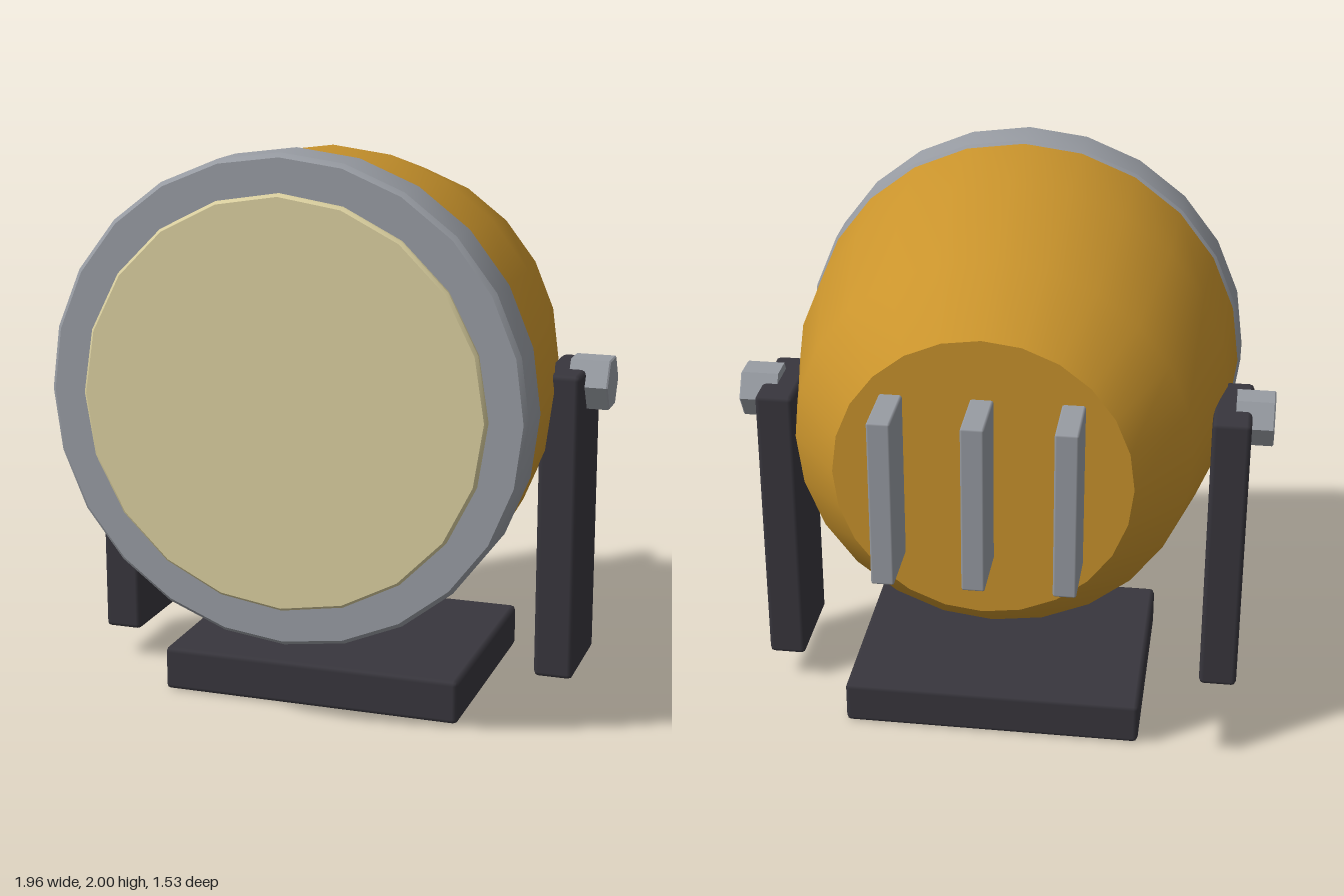
import * as THREE from 'three';
import { toCreasedNormals } from 'three/addons/utils/BufferGeometryUtils.js';
import { RoundedBoxGeometry } from 'three/addons/geometries/RoundedBoxGeometry.js';

const AXIS_Y = 1.16; // height of the lamp axis
const MID_Z = 0.065; // depth of the bracket and base

function material(name, color) {
  const m = new THREE.MeshStandardMaterial({ color });
  m.name = name;
  return m;
}

// Solid of revolution along z; profile is [radius, z] from back to front
function turned(profile, sides) {
  const lathe = new THREE.LatheGeometry(profile.map(([r, z]) => new THREE.Vector2(r, z)), sides);
  lathe.rotateX(Math.PI / 2);
  return toCreasedNormals(lathe, 0.6);
}

export function createModel() {
  const model = new THREE.Group();
  model.name = 'floodlight';
  const amber = material('amber paint', 0xca942c);
  const metal = material('grey metal', 0x989ca3);
  const glass = material('cream glass', 0xdacf9f);
  const dark = material('dark bracket', 0x38363d);

  function add(name, geometry, mat, x, y, z) {
    const mesh = new THREE.Mesh(geometry, mat);
    mesh.name = name;
    mesh.position.set(x, y, z);
    model.add(mesh);
    return mesh;
  }

  // Tapered housing with a flat back
  add('housing', turned([[0, -0.545], [0.52, -0.545], [0.705, -0.3], [0.81, 0.2], [0.83, 0.57], [0, 0.57]], 24),
    amber, 0, AXIS_Y, 0);

  // Front rim with chamfered edges
  add('rim', turned([[0, 0.557], [0.825, 0.557], [0.84, 0.572], [0.84, 0.73], [0.825, 0.745], [0, 0.745]], 24),
    metal, 0, AXIS_Y, 0);

  // Lens standing just proud of the rim
  add('lens', turned([[0, 0.7], [0.71, 0.7], [0.71, 0.755], [0.7, 0.765], [0, 0.765]], 20),
    glass, 0, AXIS_Y, 0);

  // Cooling fins on the back
  for (const x of [-0.31, 0, 0.31]) {
    add('coolingFin', new RoundedBoxGeometry(0.08, 0.61, 0.24, 1, 0.008), metal, x, AXIS_Y, -0.648);
  }

  // Side arms and hexagonal pivot bolts
  const bolt = turned([[0, -0.07], [0.1, -0.07], [0.1, 0.065], [0.095, 0.07], [0, 0.07]], 6);
  bolt.rotateZ(Math.PI / 2);
  for (const side of [1, -1]) {
    add('sideArm', new RoundedBoxGeometry(0.14, 1.1, 0.365, 1, 0.018), dark, side * 0.83, 0.667, MID_Z);
    add('pivotBolt', bolt, metal, side * 0.91, AXIS_Y + 0.003, MID_Z).rotation.y = side * Math.PI / 2;
  }

  // Base plate
  add('basePlate', new RoundedBoxGeometry(1.1, 0.16, 0.86, 1, 0.018), dark, 0, 0.08, MID_Z);
  return model;
}
